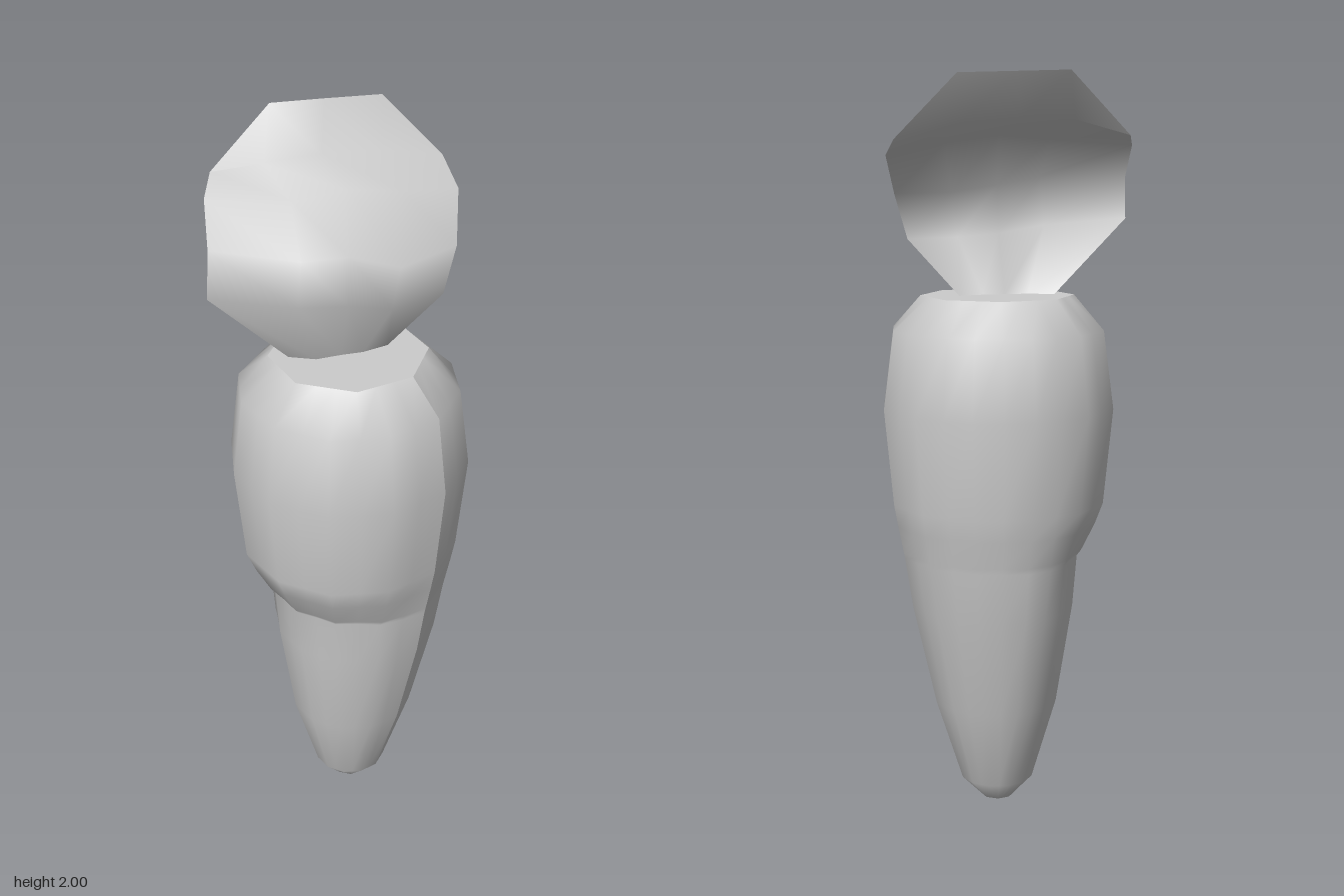
import * as THREE from 'three';

const SEG = 24;                    // fits both the 8- and 12-sided rings
const START = -4.5 * Math.PI / 180;
const CX = 0.022, CZ = 0.035;

// Distance from centre to the edge of a regular polygon at angle t
function polygonRadius(r, sides, t) {
  const step = 2 * Math.PI / sides;
  const local = ((t % step) + step) % step - step / 2;
  return r * Math.cos(step / 2) / Math.cos(local);
}

// Grid of points (rows of equal length) to a smooth surface
function surface(rows) {
  const n = rows[0].length, index = [];
  for (let j = 0; j < rows.length - 1; j++) {
    for (let i = 0; i < n - 1; i++) {
      const a = j * n + i, b = a + 1, c = a + n, d = c + 1;
      index.push(a, c, b, b, c, d);
    }
  }
  const g = new THREE.BufferGeometry();
  g.setAttribute('position', new THREE.Float32BufferAttribute(rows.flat(2), 3));
  g.setIndex(index);
  g.computeVertexNormals();
  return g;
}

// Flat end of the root, facing up or down
function cap(ring, up) {
  const index = [];
  for (let i = 1; i < ring.length - 2; i++) {
    index.push(0, ...(up ? [i + 1, i] : [i, i + 1]));
  }
  const g = new THREE.BufferGeometry();
  g.setAttribute('position', new THREE.Float32BufferAttribute(ring.flat(), 3));
  g.setIndex(index);
  g.computeVertexNormals();
  return g;
}

export function createModel() {
  const grey = new THREE.MeshStandardMaterial({ color: 0xcccccc });
  grey.name = 'light grey';
  const greySheet = grey.clone();
  greySheet.side = THREE.DoubleSide;

  const model = new THREE.Group();
  model.name = 'carrot';
  const add = (name, geometry, material = grey) => {
    const mesh = new THREE.Mesh(geometry, material);
    mesh.name = name;
    model.add(mesh);
  };

  // Root: height, radius, sides, depth of the hollow under the front bulge
  const profile = [
    [0, 0.045, 8, 0], [0.06, 0.102, 12, 0.003], [0.29, 0.177, 12, 0.012],
    [0.57, 0.242, 12, 0.037], [0.71, 0.264, 12, 0.05], [0.725, 0.267, 12, 0.04],
    [0.8, 0.282, 12, 0.014], [0.86, 0.293, 12, 0], [1.12, 0.318, 12, 0],
    [1.33, 0.29, 12, 0], [1.42, 0.207, 8, 0],
  ];
  const rings = profile.map(([y, r, sides, hollow]) => {
    const ring = [];
    for (let i = 0; i <= SEG; i++) {
      const t = i / SEG * 2 * Math.PI, a = t + START;
      const facing = Math.max(0, Math.cos(a - 1.72));
      const rad = polygonRadius(r, sides, t) - hollow * Math.sqrt(facing);
      ring.push([CX + rad * Math.cos(a), y, CZ + rad * Math.sin(a)]);
    }
    return ring;
  });
  add('root', surface(rings));
  add('rootTop', cap(rings[rings.length - 1], true));
  add('rootTip', cap(rings[0], false));

  // Leaf: a curled sheet, rows from stem to tip
  const left = [-0.34, 1.84, 0.155], right = [-0.01, 1.83, -0.35];
  add('leaf', surface([
    [[-0.07, 1.42, 0.16], [-0.01, 1.42, 0.12], [0.02, 1.42, 0.06], [0.05, 1.42, 0.01], [0.07, 1.42, -0.06]],
    [[-0.155, 1.62, 0.347], [0.01, 1.6, 0.2], [0.065, 1.58, 0.08], [0.14, 1.57, 0], [0.175, 1.57, -0.15]],
    [[-0.18, 1.73, 0.315], [0.03, 1.73, 0.205], [0.065, 1.71, 0.075], [0.165, 1.69, 0], [0.18, 1.69, -0.19]],
    [[-0.27, 1.815, 0.24], [-0.08, 1.83, 0.13], [-0.02, 1.84, 0], [0.06, 1.82, -0.12], [0.1, 1.79, -0.285]],
    [left, [-0.21, 1.88, 0.09], [-0.15, 1.88, -0.05], [-0.08, 1.87, -0.19], right],
    [left, [-0.265, 2, 0.015], [-0.2, 1.995, -0.11], [-0.125, 1.99, -0.243], right],
  ]), greySheet);

  return model;
}
